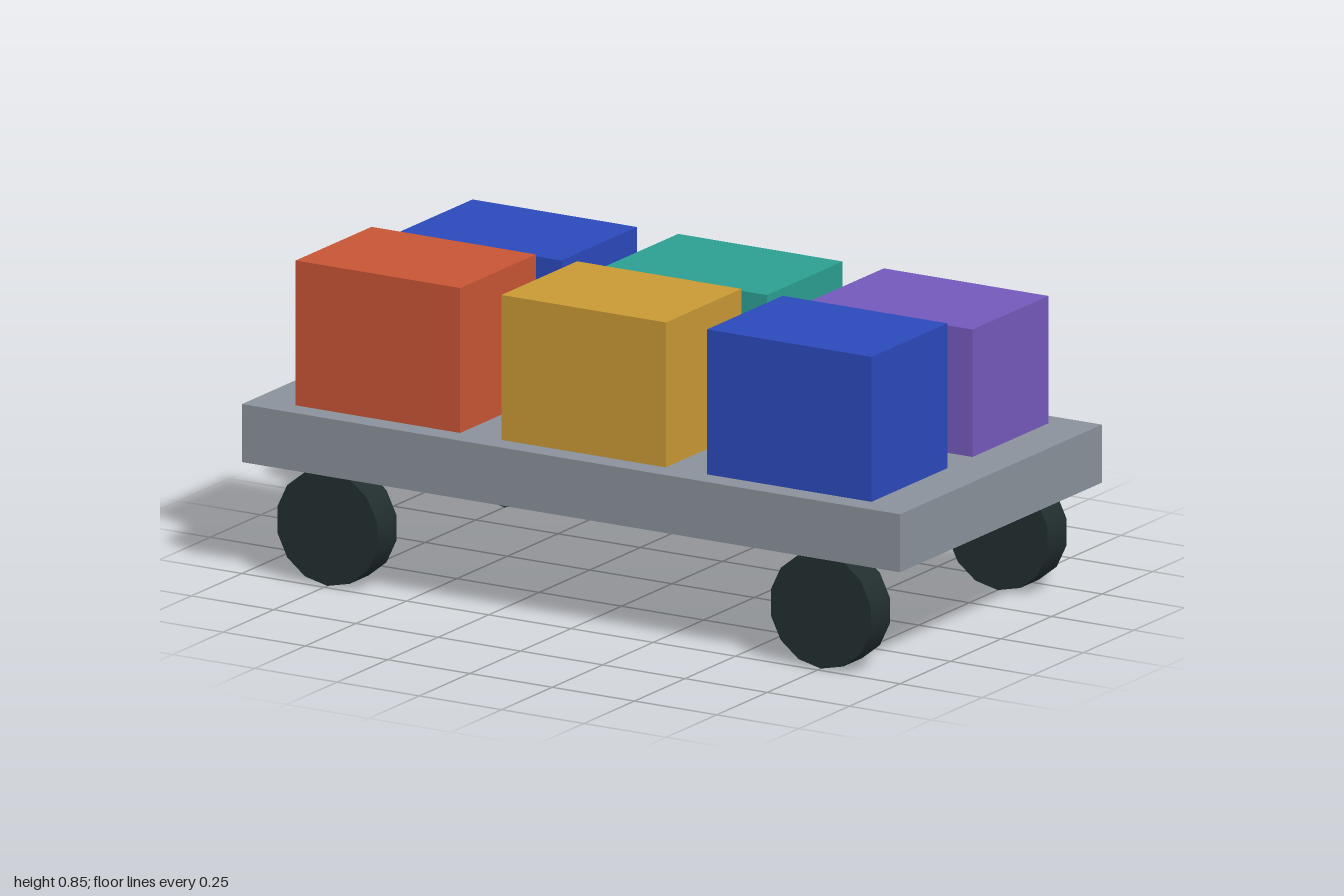
import * as THREE from 'three';

const mat = (name, color) => {
  const m = new THREE.MeshStandardMaterial({ color });
  m.name = name;
  return m;
};

export function createModel() {
  const model = new THREE.Group();
  model.name = 'cargoCart';

  const grey = mat('deckGrey', 0x8a919b);
  const rubber = mat('wheelDark', 0x222e2f);
  const orange = mat('crateOrange', 0xc85535);
  const yellow = mat('crateYellow', 0xc99935);
  const blue = mat('crateBlue', 0x2b49bb);
  const teal = mat('crateTeal', 0x2c9f93);
  const purple = mat('cratePurple', 0x7559bc);

  const add = (name, geometry, material, x, y, z) => {
    const mesh = new THREE.Mesh(geometry, material);
    mesh.name = name;
    mesh.position.set(x, y, z);
    model.add(mesh);
  };

  // Flat deck
  const deckTop = 0.456;
  add('deck', new THREE.BoxGeometry(2, 0.156, 1), grey, 0, deckTop - 0.078, 0);

  // Four wheels under the corners
  const wheel = new THREE.CylinderGeometry(0.156, 0.156, 0.094, 14).rotateX(Math.PI / 2);
  for (const x of [-0.75, 0.75]) {
    for (const z of [-0.4375, 0.4375]) add('wheel', wheel, rubber, x, 0.156, z);
  }

  // Two rows of crates, the front row a little taller
  const rows = [
    { name: 'frontCrate', z: 0.25, height: 0.39, colors: [orange, yellow, blue] },
    { name: 'backCrate', z: -0.25, height: 0.343, colors: [blue, teal, purple] },
  ];
  for (const { name, z, height, colors } of rows) {
    const crate = new THREE.BoxGeometry(0.5, height, 0.375);
    colors.forEach((color, i) =>
      add(name, crate, color, (i - 1) * 0.625, deckTop + height / 2, z));
  }

  return model;
}
